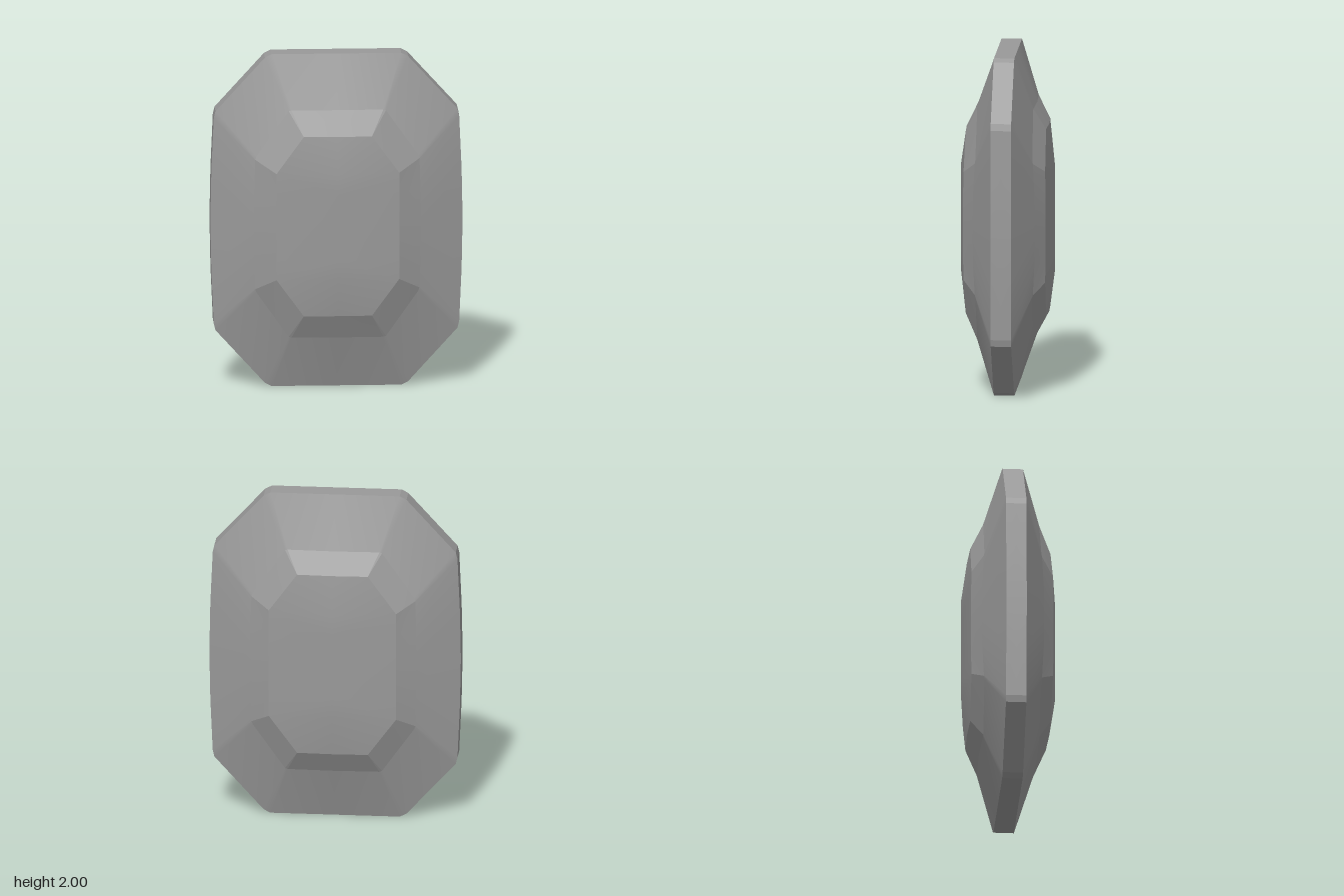
import * as THREE from 'three';
import { toCreasedNormals } from 'three/addons/utils/BufferGeometryUtils.js';

// One quadrant of each ring [x, y, z], from the top centre round to the side centre.
// y is measured from the middle of the stone; the other quadrants are mirrored.
const outline = [[0, 1], [0.38, 1], [0.42, 0.98], [0.71, 0.66], [0.72, 0.62], [0.734, 0.3], [0.74, 0]];
const girdleMiddle = outline.map(([x, y]) => [x, y, 0]);
const girdleEdge = outline.map(([x, y]) => [x, y, 0.06]);
const step = [
  [0, 0.685, 0.172], [0.27, 0.685, 0.165], [0.285, 0.68, 0.164], [0.475, 0.41, 0.164],
  [0.482, 0.39, 0.167], [0.488, 0.2, 0.177], [0.49, 0, 0.179],
];
const table = [
  [0, 0.54, 0.242], [0.2, 0.54, 0.236], [0.2, 0.54, 0.236], [0.36, 0.32, 0.24],
  [0.36, 0.32, 0.24], [0.36, 0.2, 0.242], [0.36, 0, 0.243],
];
const ridge = [0.32, 0.32, 0.32, 0.32, 0.32, 0.2, 0].map((y) => [0, y, 0.275]);
// The back table is a touch larger, and the back's side facets run straight up to it
const backTable = table.map(([x, y, z]) => [x * 1.04, y * 1.03, z]);
const backStep = step.map(([x, y, z], i) => [x, y, i < 3 ? z : z + 0.007]);

// Triangles of the band between two rings, leaving out collapsed ones
function bandTriangles(outer, inner) {
  const same = (p, q) => p.every((v, i) => v === q[i]);
  const tris = [];
  for (let i = 0; i < outer.length - 1; i++) {
    tris.push([outer[i], inner[i], inner[i + 1]], [outer[i], inner[i + 1], outer[i + 1]]);
  }
  return tris.filter(([a, b, c]) => !same(a, b) && !same(b, c) && !same(a, c));
}

// Mirrors a quadrant into all four, on the chosen sides (1 front, -1 back)
function mirrored(tris, sides, crease) {
  const positions = [];
  for (const sx of [1, -1]) for (const sy of [1, -1]) for (const sz of sides) {
    for (const [a, b, c] of tris) {
      const corners = sx * sy * sz > 0 ? [a, b, c] : [a, c, b];
      for (const [x, y, z] of corners) positions.push(x * sx, y * sy + 1, z * sz);
    }
  }
  const geometry = new THREE.BufferGeometry();
  geometry.setAttribute('position', new THREE.Float32BufferAttribute(positions, 3));
  return toCreasedNormals(geometry, crease);
}

export function createModel() {
  const group = new THREE.Group();
  group.name = 'cutGem';
  const material = new THREE.MeshStandardMaterial({ color: 0x999999 });
  const add = (name, geometry) => {
    const mesh = new THREE.Mesh(geometry, material);
    mesh.name = name;
    group.add(mesh);
  };

  // Rim band around the widest part
  add('girdle', mirrored(bandTriangles(girdleMiddle, girdleEdge), [1, -1], 0.2));

  // Sloping facets and gently domed table on each face
  for (const [side, sign, middle, top] of [['front', 1, step, table], ['back', -1, backStep, backTable]]) {
    add(side + 'OuterFacets', mirrored(bandTriangles(girdleEdge, middle), [sign], 0.2));
    add(side + 'InnerFacets', mirrored(bandTriangles(middle, top), [sign], 0.15));
    add(side + 'Table', mirrored(bandTriangles(top, ridge), [sign], 0.4));
  }
  return group;
}
